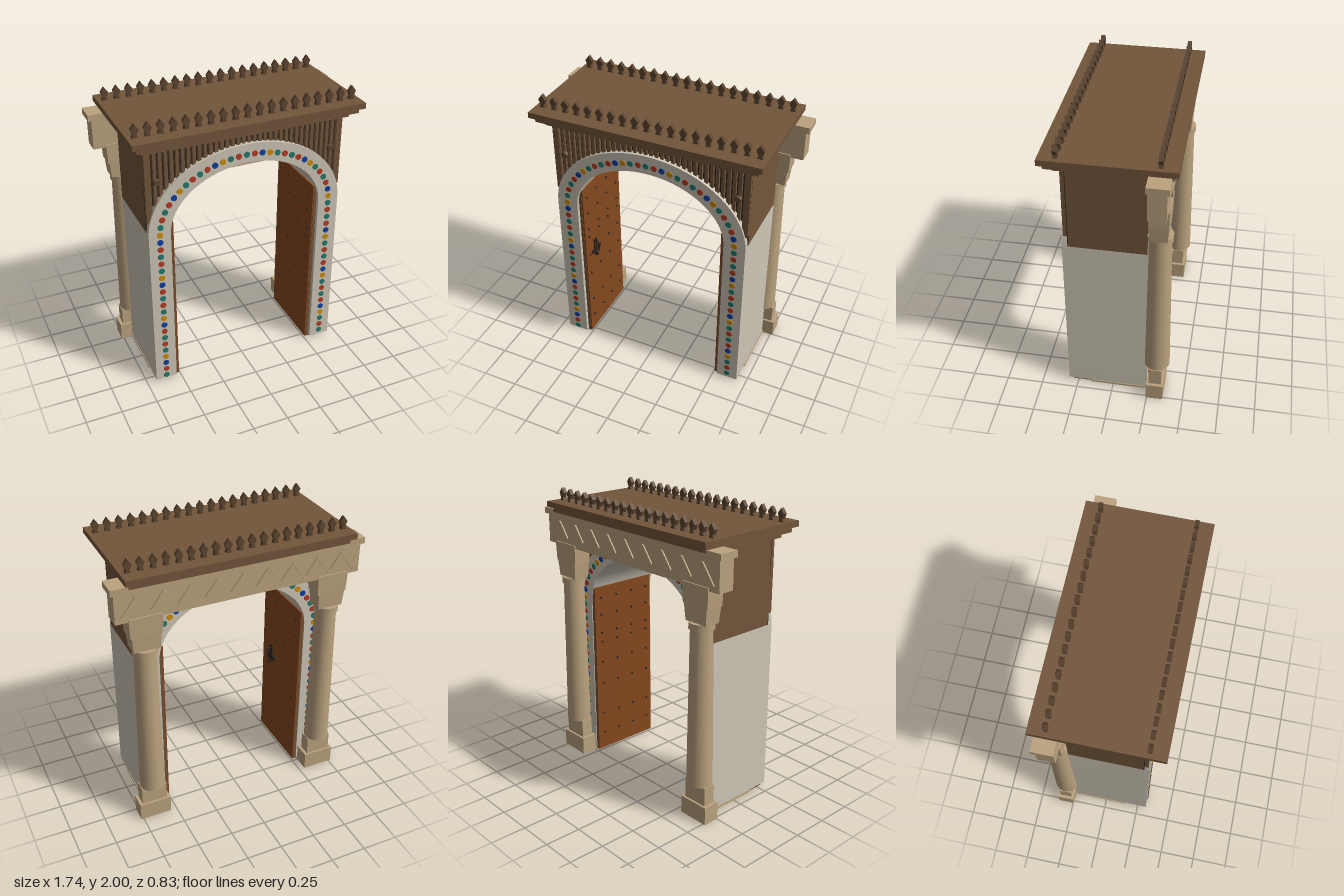
import * as THREE from 'three';
import { toCreasedNormals } from 'three/addons/utils/BufferGeometryUtils.js';

const mat = (name, color) => Object.assign(new THREE.MeshStandardMaterial({ color }), { name });

export function createModel() {
  const plaster = mat('plaster', 0xcdc6b6), stone = mat('stone', 0xbba27e), wood = mat('wood', 0x72553a);
  const darkWood = mat('darkWood', 0x5d4530), rust = mat('doorWood', 0x85481f), iron = mat('iron', 0x2c251e);
  const teal = mat('tealTile', 0x237a6c), red = mat('redTile', 0xb53a24);
  const blue = mat('blueTile', 0x0f3fa0), yellow = mat('yellowTile', 0xcc8c08);

  const model = new THREE.Group();
  model.name = 'archGate';
  const group = (name, parent = model) => {
    const g = new THREE.Group();
    g.name = name;
    parent.add(g);
    return g;
  };
  const add = (parent, name, geo, material, x = 0, y = 0, z = 0) => {
    const m = new THREE.Mesh(geo, material);
    m.name = name;
    m.position.set(x, y, z);
    parent.add(m);
    return m;
  };
  // box given by its minimum and maximum on each axis
  const box = (parent, name, material, x0, x1, y0, y1, z0, z1) =>
    add(parent, name, new THREE.BoxGeometry(x1 - x0, y1 - y0, z1 - z0), material,
      (x0 + x1) / 2, (y0 + y1) / 2, (z0 + z1) / 2);
  const extrude = (shape, z0, z1) => {
    const g = new THREE.ExtrudeGeometry(shape, { depth: z1 - z0, bevelEnabled: false, curveSegments: 40 });
    g.translate(0, 0, z0);
    return toCreasedNormals(g, 0.5);
  };

  const SPRING = 1.2, OUT = [0.685, 0.53], IN = [0.535, 0.4], BACK = -0.24, FRONT = 0.315;

  // plaster arch with both jambs
  const arch = new THREE.Shape();
  arch.moveTo(OUT[0], 0.02);
  arch.lineTo(OUT[0], SPRING);
  arch.absellipse(0, SPRING, OUT[0], OUT[1], 0, Math.PI, false, 0);
  arch.lineTo(-OUT[0], 0.02);
  arch.lineTo(-IN[0], 0.02);
  arch.lineTo(-IN[0], SPRING);
  arch.absellipse(0, SPRING, IN[0], IN[1], Math.PI, 0, true, 0);
  arch.lineTo(IN[0], 0.02);
  add(model, 'arch', extrude(arch, BACK, FRONT), plaster);

  // wooden housing above the arch
  const housing = new THREE.Shape();
  housing.moveTo(0.687, 1.22);
  housing.lineTo(0.687, 1.8);
  housing.lineTo(-0.687, 1.8);
  housing.lineTo(-0.687, 1.22);
  housing.absellipse(0, SPRING, OUT[0] - 0.01, OUT[1] - 0.01, Math.PI - 0.04, 0.04, true, 0);
  add(model, 'housing', extrude(housing, BACK + 0.01, 0.272), wood);
  add(model, 'screenBacking', extrude(housing, 0.272, 0.277), iron);

  // vertical slats that stop at the arch
  const screen = group('slatScreen');
  const slats = 36;
  for (let i = 0; i < slats; i++) {
    const x = -0.655 + (1.31 * i) / (slats - 1);
    const bottom = Math.max(1.3, SPRING + OUT[1] * Math.sqrt(1 - (x / OUT[0]) ** 2) - 0.04);
    box(screen, 'slat', wood, x - 0.011, x + 0.011, bottom, 1.8, 0.275, 0.297);
  }
  for (const s of [-1, 1]) {
    const post = box(screen, 'endPost', wood, -0.02, 0.02, 1.3, 1.8, 0.272, 0.302);
    post.position.x = s * 0.667;
    const rosette = add(screen, 'rosette', new THREE.CylinderGeometry(0.02, 0.027, 0.016, 8), darkWood, s * 0.61, 1.58, 0.305);
    rosette.rotation.x = Math.PI / 2;
  }

  // stepped roof
  const roof = group('roof');
  box(roof, 'lowerCornice', wood, -0.71, 0.71, 1.8, 1.836, -0.34, 0.34);
  box(roof, 'middleCornice', wood, -0.755, 0.755, 1.836, 1.873, -0.385, 0.385);
  box(roof, 'roofSlab', wood, -0.785, 0.785, 1.873, 1.912, -0.415, 0.415);

  // spear-shaped cresting along both edges
  const spear = new THREE.Shape([[-0.02, 1.91], [0.02, 1.91], [0.011, 1.932], [0.025, 1.965], [0, 2],
    [-0.025, 1.965], [-0.011, 1.932]].map(([x, y]) => new THREE.Vector2(x, y)));
  const spearGeo = extrude(spear, -0.014, 0.014);
  const cresting = group('cresting');
  for (const z of [-0.307, 0.307])
    for (let i = 0; i < 19; i++) add(cresting, 'spear', spearGeo, darkWood, -0.735 + (1.47 * i) / 18, 0, z);

  // coloured tiles evenly spaced along the centre of the arch face
  const path = new THREE.CurvePath();
  path.add(new THREE.LineCurve(new THREE.Vector2(-0.61, 0.045), new THREE.Vector2(-0.61, SPRING)));
  path.add(new THREE.EllipseCurve(0, SPRING, 0.61, 0.457, Math.PI, 0, true));
  path.add(new THREE.LineCurve(new THREE.Vector2(0.61, SPRING), new THREE.Vector2(0.61, 0.06)));
  const order = [red, blue, yellow, teal, red, teal];
  const tileGeo = new THREE.CylinderGeometry(0.021, 0.021, 0.006, 10).rotateX(Math.PI / 2);
  const tiles = group('tiles');
  for (let i = 0; i < 73; i++) {
    const p = path.getPointAt(i / 72);
    for (const z of [FRONT + 0.002, BACK - 0.002]) add(tiles, 'tile', tileGeo, order[(i + 5) % 6], p.x, p.y, z);
  }

  // flat soffit under the crown
  box(model, 'soffit', stone, -0.235, 0.235, 1.545, 1.585, BACK + 0.01, 0.24);

  // open door leaves with studs, one on each jamb
  const studGeo = new THREE.SphereGeometry(0.009, 8, 6);
  for (const s of [-1, 1]) {
    const door = group(s < 0 ? 'rightDoor' : 'leftDoor');
    const mirrored = (name, material, x0, x1, ...rest) =>
      box(door, name, material, Math.min(s * x0, s * x1), Math.max(s * x0, s * x1), ...rest);
    mirrored('doorFrame', wood, 0.517, 0.54, 0.008, 1.29, -0.235, 0.29);
    mirrored('doorLeaf', rust, 0.507, 0.517, 0.008, 1.3, -0.235, 0.287);
    mirrored('threshold', stone, 0.54, 0.69, 0.005, 0.02, -0.25, 0.155);
    mirrored('sill', wood, 0.54, 0.68, 0.008, 0.02, 0.155, 0.285);
    for (const y of [0.14, 0.3, 0.55, 0.72, 0.88, 0.95, 1.09, 1.22])
      for (const z of [-0.18, -0.04, 0.1, 0.24]) add(door, 'stud', studGeo, iron, s * 0.504, y, z);
  }

  // latch and pull on one door
  const latch = group('latch');
  box(latch, 'plate', iron, -0.508, -0.5, 0.69, 0.81, 0.14, 0.18);
  box(latch, 'crossPlate', iron, -0.508, -0.498, 0.7, 0.73, 0.1, 0.21);
  const pull = new THREE.CatmullRomCurve3([[-0.505, 0.785], [-0.482, 0.788], [-0.476, 0.775], [-0.476, 0.71]]
    .map(([x, y]) => new THREE.Vector3(x, y, 0.16)));
  add(latch, 'pull', new THREE.TubeGeometry(pull, 12, 0.006, 6), iron);
  box(latch, 'hook', iron, -0.508, -0.488, 0.665, 0.69, 0.15, 0.17);

  // stone columns behind the jambs
  const block = (parent, name, x, y0, y1, halfX, halfZ, taper = 1) => {
    const g = new THREE.BoxGeometry(halfX * 2, y1 - y0, halfZ * 2);
    const p = g.attributes.position;
    for (let i = 0; i < p.count; i++)
      if (p.getY(i) < 0) p.setXYZ(i, p.getX(i) * taper, p.getY(i), p.getZ(i) * taper);
    g.computeVertexNormals();
    add(parent, name, g, stone, x, (y0 + y1) / 2, -0.303);
  };
  for (const s of [-1, 1]) {
    const column = group(s < 0 ? 'rightColumn' : 'leftColumn');
    const x = s * 0.655;
    block(column, 'base', x, 0, 0.125, 0.112, 0.058);
    block(column, 'plinth', x, 0.125, 0.255, 0.09, 0.043);
    add(column, 'shaft', new THREE.CylinderGeometry(0.073, 0.087, 1.08, 32), stone, x, 0.795, -0.305);
    add(column, 'collar', new THREE.CylinderGeometry(0.083, 0.083, 0.045, 32), stone, x, 1.355, -0.305);
    block(column, 'capital', x, 1.375, 1.485, 0.098, 0.062, 0.9);
    block(column, 'upperCapital', x, 1.485, 1.625, 0.112, 0.066, 0.95);
  }

  // stone lintel with a raised zigzag on its back
  const lintel = group('lintel');
  box(lintel, 'beam', stone, -0.85, 0.85, 1.605, 1.81, -0.36, -0.245);
  box(lintel, 'cap', stone, -0.872, 0.872, 1.81, 1.853, -0.376, -0.236);
  const teeth = 9, pitch = 1.6 / teeth, rise = 0.12;
  const barGeo = new THREE.BoxGeometry(Math.hypot(pitch / 2, rise) + 0.012, 0.022, 0.014);
  for (let i = 0; i < teeth * 2; i++) {
    const bar = add(lintel, 'zigzagBar', barGeo, stone, -0.8 + (i + 0.5) * (pitch / 2), 1.705, -0.363);
    bar.rotation.z = (i % 2 ? -1 : 1) * Math.atan2(rise, pitch / 2);
  }
  return model;
}
